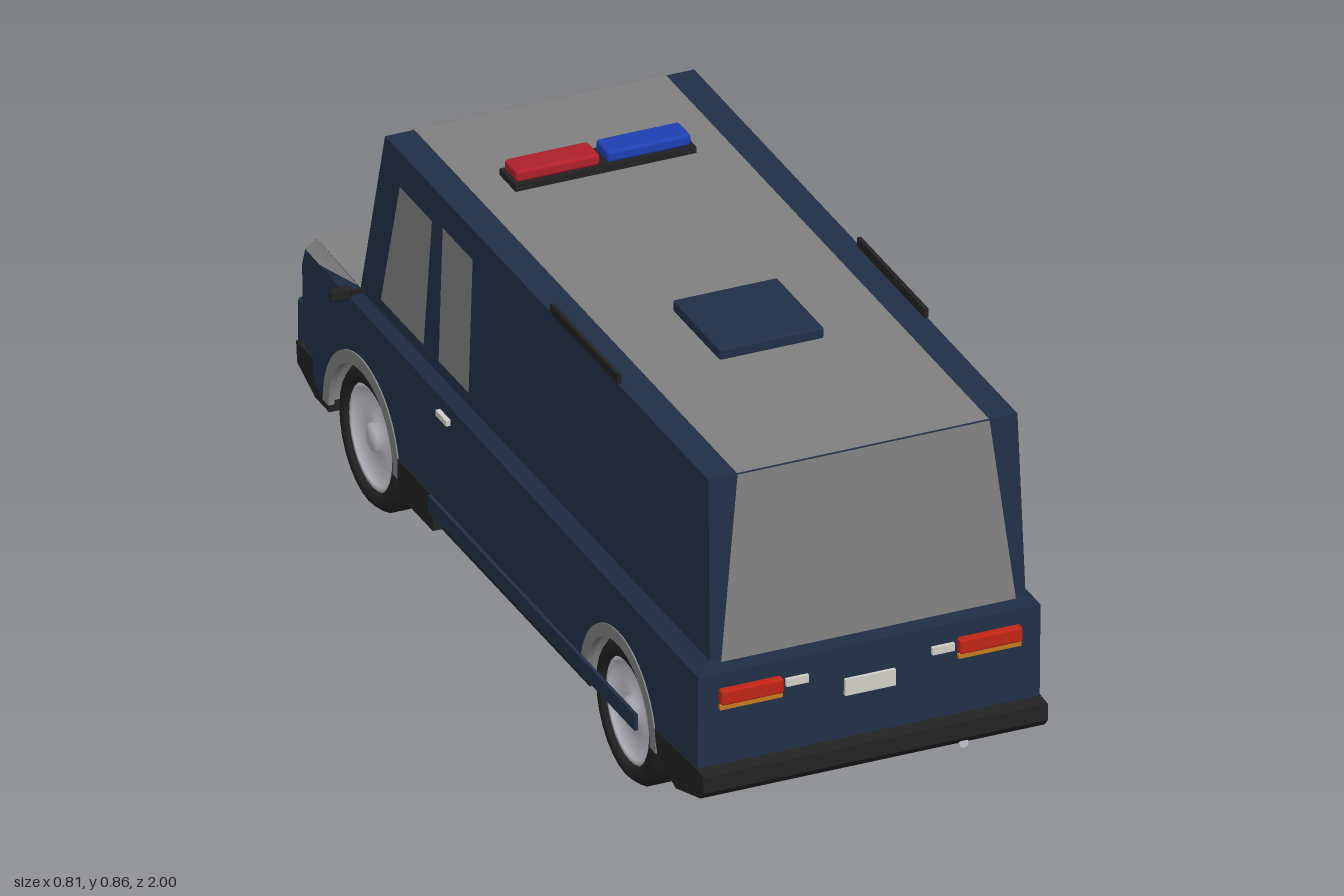
import * as THREE from 'three';
import { RoundedBoxGeometry } from 'three/addons/geometries/RoundedBoxGeometry.js';

const mat = (name, color, side = THREE.FrontSide) => {
  const m = new THREE.MeshStandardMaterial({ color, side });
  m.name = name;
  return m;
};

export function createModel() {
  const van = new THREE.Group();
  van.name = 'van';
  const navy = mat('navy paint', 0x213047);
  const grey = mat('grey panels', 0x808080, THREE.DoubleSide);
  const black = mat('black trim', 0x222222);
  const rimMat = mat('silver rim', 0xc4c4cc);
  const cream = mat('cream lamp', 0xd0d0c6);
  const red = mat('red lamp', 0xc02414);
  const orange = mat('orange lamp', 0xc47a1c);
  const beaconRed = mat('beacon red', 0xb0202a);
  const beaconBlue = mat('beacon blue', 0x2040b4);

  const add = (name, geo, m, parent = van) => {
    const mesh = new THREE.Mesh(geo, m);
    mesh.name = name;
    parent.add(mesh);
    return mesh;
  };
  // box from its lower and upper limits
  const box = (name, m, [x0, x1], [y0, y1], [z0, z1], r = 0) => {
    const s = [x1 - x0, y1 - y0, z1 - z0];
    const g = r ? new RoundedBoxGeometry(...s, 2, r) : new THREE.BoxGeometry(...s);
    g.translate((x0 + x1) / 2, (y0 + y1) / 2, (z0 + z1) / 2);
    return add(name, g, m);
  };
  // the same box on both sides
  const pair = (name, m, [x0, x1], y, z, r) => {
    box(name + 'Left', m, [x0, x1], y, z, r);
    box(name + 'Right', m, [-x1, -x0], y, z, r);
  };
  // box with different lower and upper outlines: [half width, y, nose z, tail z, nose half width]
  const loft = (name, m, low, high) => {
    const g = new THREE.BoxGeometry(2, 2, 2), p = g.attributes.position;
    for (let i = 0; i < p.count; i++) {
      const [w, y, z0, z1, wn = w] = p.getY(i) < 0 ? low : high;
      const nose = p.getZ(i) < 0;
      p.setXYZ(i, p.getX(i) * (nose ? wn : w), y, nose ? z0 : z1);
    }
    g.computeVertexNormals();
    return add(name, g, m);
  };
  // flat four-cornered panel
  const panel = (name, m, pts) => {
    const g = new THREE.BufferGeometry();
    g.setAttribute('position', new THREE.Float32BufferAttribute(pts.flat(), 3));
    g.setIndex([0, 1, 2, 0, 2, 3]);
    g.computeVertexNormals();
    return add(name, g, m);
  };
  // side outline drawn in (z, y), extruded from x0 to x1
  const sideExtrude = (name, m, shape, x0, x1) => {
    const g = new THREE.ExtrudeGeometry(shape, { depth: x1 - x0, bevelEnabled: false, curveSegments: 20 });
    g.rotateY(-Math.PI / 2).translate(x1, 0, 0);
    return add(name, g, m);
  };
  const outline = (pts) => new THREE.Shape(pts.map(([z, y]) => new THREE.Vector2(z, y)));

  // lower body with wheel arches, narrowing at the nose
  const axles = [-0.6, 0.6], hubY = 0.15, archR = 0.172;
  const side = new THREE.Shape();
  side.moveTo(-0.91, 0.15);
  for (const z of axles) {
    side.lineTo(z - archR, hubY);
    side.absarc(z, hubY, archR, Math.PI, 0, true);
  }
  side.lineTo(0.965, 0.16).lineTo(0.97, 0.41).lineTo(-0.905, 0.41).lineTo(-0.92, 0.37);
  const body = sideExtrude('lowerBody', navy, side, -0.36, 0.36);
  const bp = body.geometry.attributes.position;
  for (let i = 0; i < bp.count; i++) if (bp.getZ(i) < -0.85) bp.setX(i, bp.getX(i) * 0.95);
  loft('shoulder', navy, [0.36, 0.41, -0.905, 0.97, 0.342], [0.332, 0.438, -0.885, 0.962, 0.325]);

  // cabin and its grey panels
  loft('cabin', navy, [0.332, 0.436, -0.67, 0.962], [0.325, 0.82, -0.57, 0.94]);
  panel('roofPanel', grey, [[-0.265, 0.822, 0.94], [0.265, 0.822, 0.94], [0.265, 0.822, -0.57], [-0.265, 0.822, -0.57]]);
  panel('rearPanel', grey, [[-0.31, 0.432, 0.966], [0.31, 0.432, 0.966], [0.265, 0.82, 0.943], [-0.265, 0.82, 0.943]]);
  panel('windscreen', grey, [[0.305, 0.442, -0.673], [-0.305, 0.442, -0.673], [-0.265, 0.82, -0.574], [0.265, 0.82, -0.574]]);
  // cab windows on the right side
  panel('quarterWindow', grey, [[-0.334, 0.465, -0.57], [-0.334, 0.465, -0.37], [-0.33, 0.75, -0.34], [-0.33, 0.75, -0.49]]);
  panel('doorWindow', grey, [[-0.334, 0.465, -0.3], [-0.334, 0.465, -0.16], [-0.33, 0.76, -0.15], [-0.33, 0.76, -0.29]]);

  // bonnet with chamfered sides, and curved cowl
  panel('bonnet', grey, [[-0.332, 0.441, -0.67], [0.332, 0.441, -0.67], [0.326, 0.44, -0.886], [-0.326, 0.44, -0.886]]);
  for (const s of [-1, 1])
    panel('bonnetEdge', grey, [[s * 0.333, 0.441, -0.68], [s * 0.326, 0.44, -0.886], [s * 0.344, 0.413, -0.903], [s * 0.35, 0.42, -0.82]]);
  const cowl = new THREE.Shape();
  cowl.moveTo(-0.33, 0.67).quadraticCurveTo(0, 0.79, 0.33, 0.67);
  add('cowl', new THREE.ExtrudeGeometry(cowl, { depth: 0.005, bevelEnabled: false })
    .rotateX(-Math.PI / 2).translate(0, 0.44, 0), navy);

  // wheel wells and flares
  const arch = (name, z, rIn, rOut, x0, x1) => {
    const s = new THREE.Shape();
    s.absarc(z, hubY, rOut, 0, Math.PI, false);
    s.absarc(z, hubY, rIn, Math.PI, 0, true);
    sideExtrude(name, grey, s, x0, x1);
  };
  for (const z of axles) {
    arch('wheelWell', z, 0.166, 0.173, -0.345, 0.345);
    arch('archFlareLeft', z, 0.15, 0.177, 0.35, 0.363);
    arch('archFlareRight', z, 0.15, 0.177, -0.363, -0.35);
  }

  // wheels
  const v = (pts) => pts.map(([r, y]) => new THREE.Vector2(r, y));
  const tyreGeo = new THREE.LatheGeometry(v([[0.1, -0.048], [0.137, -0.048], [0.15, -0.032], [0.15, 0.032],
    [0.137, 0.048], [0.11, 0.048], [0.108, 0.02]]), 28).rotateZ(-Math.PI / 2);
  const rimGeo = new THREE.LatheGeometry(v([[0, -0.035], [0.102, -0.035], [0.109, 0.04], [0.098, 0.04],
    [0.085, 0.026], [0.03, 0.03], [0.028, 0.042], [0, 0.044]]), 28).rotateZ(-Math.PI / 2);
  for (const z of axles) for (const s of [-1, 1]) {
    const wheel = new THREE.Group();
    wheel.name = (z < 0 ? 'front' : 'rear') + (s > 0 ? 'Left' : 'Right') + 'Wheel';
    add('tyre', tyreGeo, black, wheel);
    add('rim', rimGeo, rimMat, wheel);
    wheel.position.set(s * 0.298, hubY, z);
    if (s < 0) wheel.rotation.y = Math.PI;
    van.add(wheel);
  }

  // underbody, steps and side trim
  box('floor', black, [-0.345, 0.345], [0.12, 0.155], [-0.425, 0.43]);
  pair('step', black, [0.33, 0.364], [0.12, 0.195], [-0.425, -0.26]);
  pair('sideTrim', navy, [0.363, 0.37], [0.16, 0.195], [-0.27, 0.695]);
  pair('doorHandle', cream, [0.358, 0.368], [0.384, 0.396], [-0.24, -0.19]);

  // bumpers
  sideExtrude('rearBumper', black, outline([[0.765, 0.2], [0.785, 0.15], [0.87, 0.12], [0.985, 0.155], [1, 0.172], [1, 0.207], [0.96, 0.21]]), -0.362, 0.362);
  sideExtrude('frontBumper', black, outline([[-0.93, 0.2], [-0.925, 0.155], [-0.84, 0.12], [-0.775, 0.12], [-0.775, 0.15], [-0.85, 0.2]]), -0.35, 0.35);
  box('pushBar', navy, [-0.325, 0.325], [0.135, 0.265], [-0.985, -0.948], 0.01);
  pair('pushBarBracket', black, [0.19, 0.24], [0.16, 0.19], [-0.998, -0.9]);
  add('exhaust', new THREE.CylinderGeometry(0.01, 0.01, 0.12, 12).rotateX(Math.PI / 2).translate(0.19, 0.155, 0.93), rimMat);

  // rear lamps and plate
  pair('tailLamp', red, [0.185, 0.317], [0.345, 0.377], [0.96, 0.985], 0.005);
  pair('rearIndicator', orange, [0.185, 0.317], [0.333, 0.342], [0.96, 0.977]);
  pair('reverseLamp', cream, [0.13, 0.177], [0.353, 0.369], [0.96, 0.977]);
  box('rearPlate', cream, [-0.053, 0.053], [0.305, 0.34], [0.968, 0.976]);

  // nose lamps and grille
  pair('headlamp', cream, [0.17, 0.3], [0.305, 0.35], [-0.928, -0.9]);
  pair('frontIndicator', orange, [0.185, 0.3], [0.277, 0.297], [-0.925, -0.9]);
  box('grille', black, [-0.155, 0.155], [0.295, 0.335], [-0.926, -0.9]);

  // mirrors
  pair('mirror', black, [0.36, 0.405], [0.435, 0.46], [-0.66, -0.643], 0.006);
  pair('mirrorArm', black, [0.325, 0.37], [0.44, 0.45], [-0.655, -0.648]);

  // roof hatch, side rails and light bar
  box('roofHatch', navy, [-0.11, 0.11], [0.82, 0.845], [0.295, 0.515], 0.005);
  pair('roofRail', black, [0.319, 0.327], [0.82, 0.84], [0.205, 0.52]);
  box('lightBarBase', black, [-0.19, 0.19], [0.82, 0.836], [-0.335, -0.26]);
  box('redBeacon', beaconRed, [-0.184, -0.008], [0.835, 0.86], [-0.328, -0.268], 0.007);
  box('blueBeacon', beaconBlue, [0.008, 0.184], [0.835, 0.86], [-0.328, -0.268], 0.007);
  return van;
}
